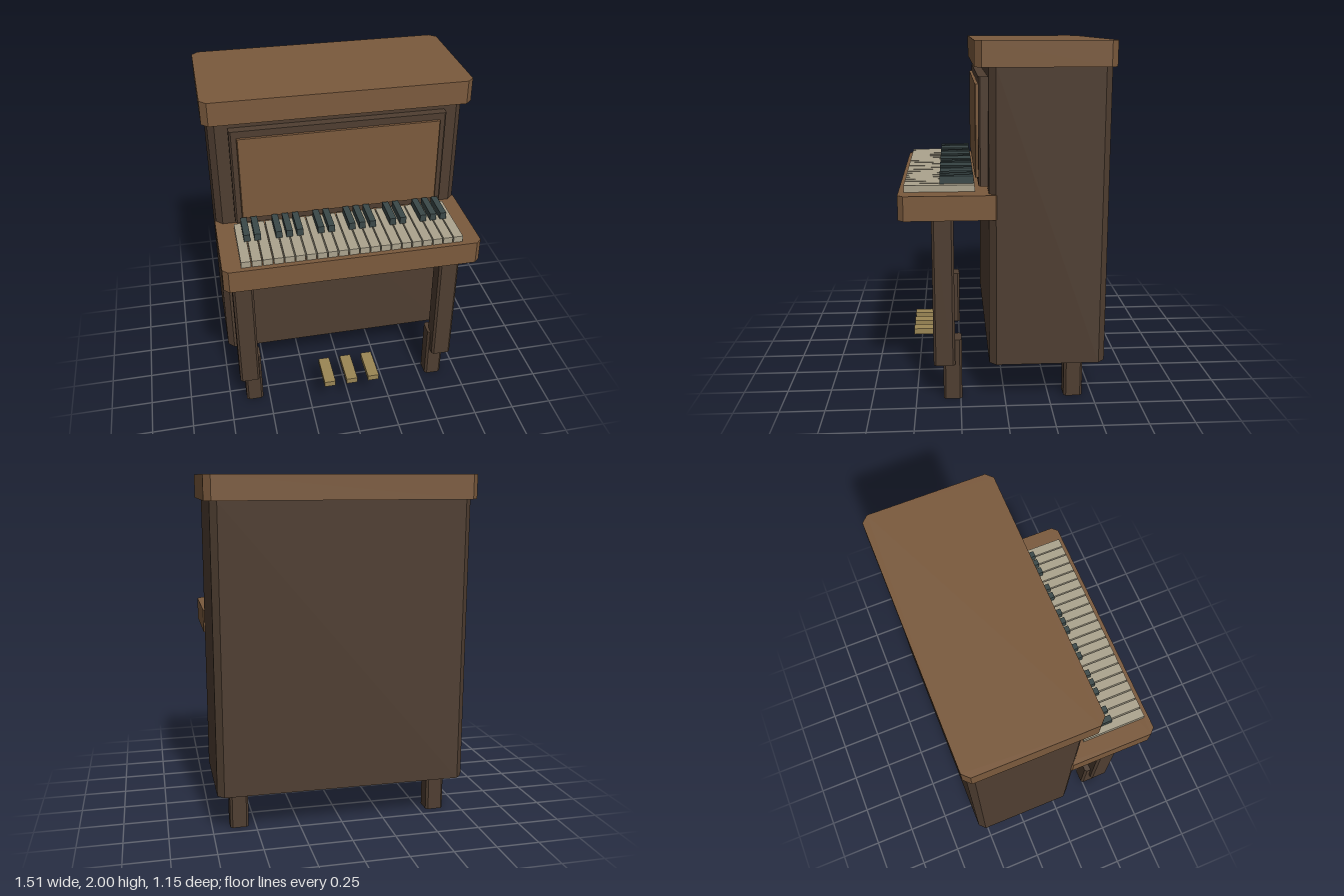
import * as THREE from 'three';

const material = (color) => new THREE.MeshStandardMaterial({ color, flatShading: true });

export function createModel() {
  const group = new THREE.Group();
  group.name = 'uprightPiano';

  const darkWood = material(0x4f3e31);
  const lightWood = material(0x7b5a3d);
  const ivory = material(0xaca48e);
  const ebony = material(0x3b4949);
  const brass = material(0x9b8655);

  // Block given by its limits on each axis, with its upright edges cut by c
  function block(name, mat, [x0, x1], [y0, y1], [z0, z1], c = 0) {
    const w = (x1 - x0) / 2, h = y1 - y0, d = (z1 - z0) / 2;
    let geometry;
    if (c > 0) {
      const shape = new THREE.Shape([
        [w - c, -d], [w, -d + c], [w, d - c], [w - c, d],
        [-w + c, d], [-w, d - c], [-w, -d + c], [-w + c, -d],
      ].map(([x, y]) => new THREE.Vector2(x, y)));
      geometry = new THREE.ExtrudeGeometry(shape, { depth: h, bevelEnabled: false });
      geometry.rotateX(-Math.PI / 2).translate(0, -h / 2, 0);
    } else {
      geometry = new THREE.BoxGeometry(w * 2, h, d * 2);
    }
    const mesh = new THREE.Mesh(geometry, mat);
    mesh.name = name;
    mesh.position.set((x0 + x1) / 2, (y0 + y1) / 2, (z0 + z1) / 2);
    group.add(mesh);
    return mesh;
  }

  // Case, lid and key bed
  block('case', darkWood, [-0.725, 0.725], [0.235, 1.865], [-0.555, 0.09], 0.037);
  block('lid', lightWood, [-0.756, 0.756], [1.865, 2], [-0.575, 0.165], 0.037);
  block('keyBed', lightWood, [-0.733, 0.733], [1.063, 1.198], [0.025, 0.575], 0.031);

  // Raised frame and panel above the keys
  block('panelFrame', darkWood, [-0.616, 0.616], [1.224, 1.81], [0.07, 0.142], 0.01);
  block('frontPanel', lightWood, [-0.577, 0.577], [1.265, 1.77], [0.1, 0.159], 0.005);

  // Key bed posts and feet on both sides
  for (const side of [-1, 1]) {
    const label = side > 0 ? 'left' : 'right';
    const span = (a, b) => (side > 0 ? [a, b] : [-b, -a]);
    block(label + 'Post', darkWood, span(0.56, 0.681), [0.217, 1.063], [0.28, 0.4], 0.013);
    block(label + 'FrontFoot', darkWood, span(0.542, 0.648), [0, 0.355], [0.242, 0.347], 0.013);
    block(label + 'BackFoot', darkWood, span(0.542, 0.648), [0, 0.3], [-0.443, -0.337], 0.013);
  }

  // Three octaves of keys; no black key follows the 3rd and 7th white ones
  const pitch = 0.06;
  for (let i = 0; i < 21; i++) {
    const x = -0.602 + i * pitch;
    block('whiteKey' + (i + 1), ivory, [x - 0.0265, x + 0.0265], [1.198, 1.235], [0.163, 0.545]);
    if (i % 7 === 2 || i % 7 === 6) continue;
    const bx = x + pitch / 2;
    block('blackKey' + (i + 1), ebony, [bx - 0.018, bx + 0.018], [1.235, 1.277], [0.169, 0.353]);
  }

  // Pedals
  [-0.139, 0, 0.137].forEach((x, i) => {
    block('pedal' + (i + 1), brass, [x - 0.034, x + 0.034], [0.199, 0.235], [0.315, 0.53]);
  });

  return group;
}
